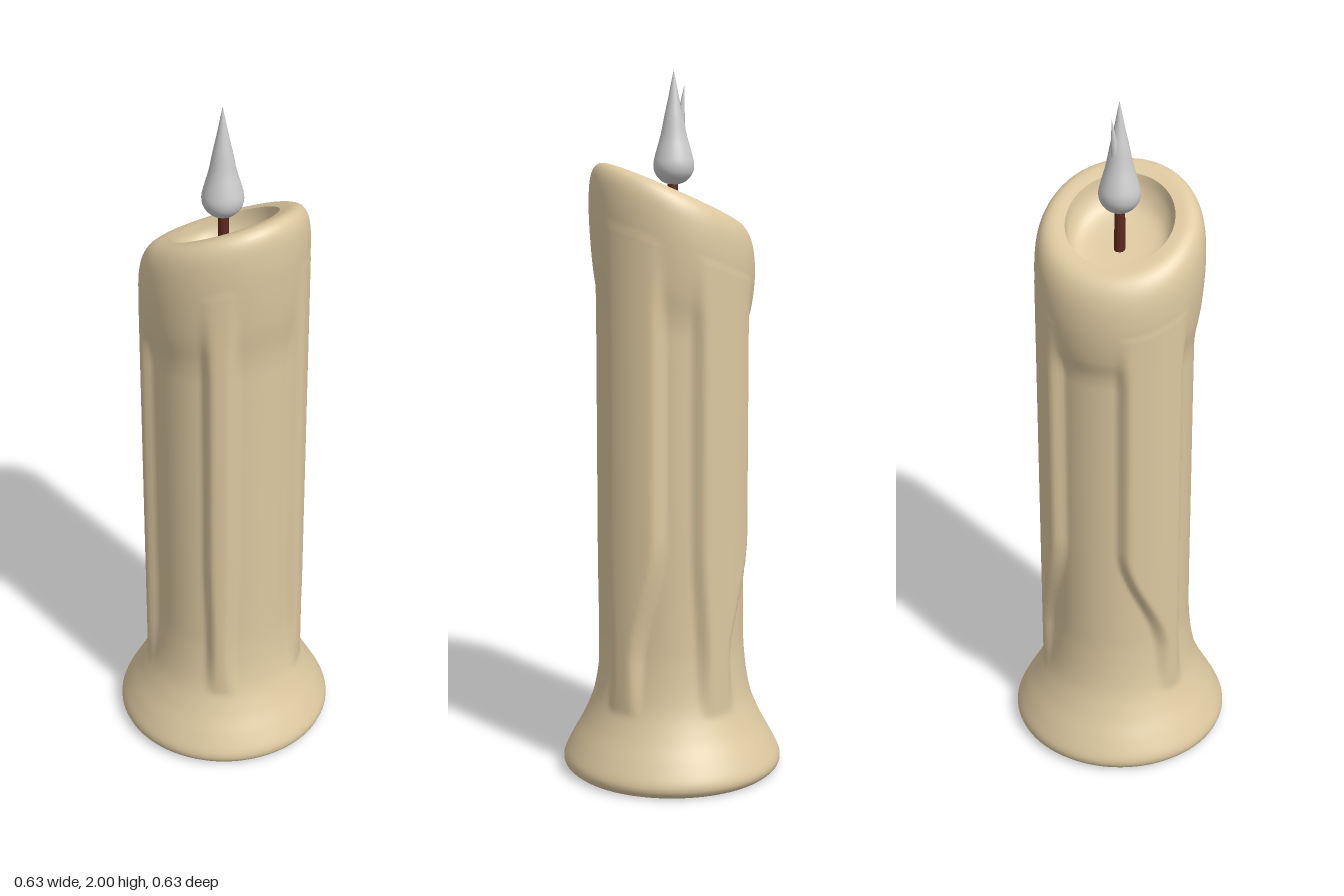
import * as THREE from 'three';
import { mergeVertices } from 'three/addons/utils/BufferGeometryUtils.js';

const { smoothstep } = THREE.MathUtils;
const wax = new THREE.MeshStandardMaterial({ color: 0xdcc8a0 });
const wickMat = new THREE.MeshStandardMaterial({ color: 0x5a2a1c });
const flameMat = new THREE.MeshStandardMaterial({ color: 0xcccccc });

// Wax runs: angle range in degrees (from +x towards +z) above, and the narrower range near the base
const drips = [
  { top: [34, 56], low: [36, 54] },
  { top: [115, 166], low: [115, 134] },
  { top: [217, 270], low: [240, 266] },
  { top: [296, 341], low: [314, 339] },
];

// How much of a drip covers this point, 0 to 1
function dripMask(deg, y) {
  const t = 1 - smoothstep(y, 0.35, 0.72);
  let m = 0;
  for (const { top, low } of drips) {
    const a = THREE.MathUtils.lerp(top[0], low[0], t);
    const b = THREE.MathUtils.lerp(top[1], low[1], t);
    m = Math.max(m, smoothstep(deg, a - 4, a + 6) * (1 - smoothstep(deg, b - 6, b + 4)));
  }
  return m;
}

const spline = (pts, n) => new THREE.SplineCurve(pts.map((p) => new THREE.Vector2(...p))).getSpacedPoints(n);

// Turned wax surface, pushed out by the drips and slanted at the top
function waxSurface(points, withDrips) {
  let geo = new THREE.LatheGeometry(points, 144);
  const pos = geo.attributes.position;
  for (let i = 0; i < pos.count; i++) {
    let x = pos.getX(i), y = pos.getY(i), z = pos.getZ(i);
    const r = Math.hypot(x, z);
    if (withDrips && y < 1.5) {
      const deg = (THREE.MathUtils.radToDeg(Math.atan2(z, x)) + 360) % 360;
      const k = (r + Math.max(0, 0.233 - r) * dripMask(deg, y)) / r;
      x *= k;
      z *= k;
    }
    y += 0.46 * x * smoothstep(y, 1.1, 1.62);
    pos.setXYZ(i, x, y, z);
  }
  geo.deleteAttribute('uv');
  geo.deleteAttribute('normal');
  geo = mergeVertices(geo, 1e-5);
  geo.computeVertexNormals();
  return geo;
}

export function createModel() {
  const group = new THREE.Group();
  const add = (name, geo, mat) => {
    const mesh = new THREE.Mesh(geo, mat);
    mesh.name = name;
    group.add(mesh);
    return mesh;
  };

  // Outer wall: flared foot, shaft, overhanging rounded lip
  const wall = spline([
    [0.295, 0], [0.312, 0.015], [0.314, 0.04], [0.29, 0.09], [0.255, 0.155], [0.226, 0.23],
    [0.21, 0.33], [0.205, 0.45], [0.205, 0.8], [0.205, 1.2], [0.207, 1.31], [0.222, 1.4],
    [0.23, 1.48], [0.232, 1.55], [0.226, 1.61], [0.21, 1.647], [0.185, 1.662], [0.148, 1.66],
  ], 160);
  add('candleBody', waxSurface(wall, true), wax);

  // Hollow melted into the top
  const hollow = spline([
    [0.148, 1.66], [0.142, 1.625], [0.125, 1.595], [0.1, 1.582], [0.06, 1.577], [0, 1.576],
  ], 20);
  add('meltPool', waxSurface(hollow, false), wax);

  // Underside
  add('candleBottom', new THREE.CircleGeometry(0.295, 144).rotateX(Math.PI / 2), wax);

  // Wick
  add('wick', new THREE.CylinderGeometry(0.014, 0.016, 0.14, 16), wickMat).position.set(-0.002, 1.64, 0);

  // Flame: teardrop with a main tip and a smaller side tip
  const drop = spline([
    [0, 1.684], [0.03, 1.692], [0.051, 1.714], [0.057, 1.74], [0.051, 1.77], [0.037, 1.82],
    [0.027, 1.87], [0.016, 1.92], [0.006, 1.97], [0, 2],
  ], 40);
  add('flame', new THREE.LatheGeometry(drop, 32), flameMat).position.x = -0.005;
  const tip = add('flameSideTip', new THREE.ConeGeometry(0.022, 0.18, 20), flameMat);
  tip.position.set(-0.023, 1.87, -0.008);
  tip.rotation.set(-0.08, 0, 0.09);

  return group;
}
